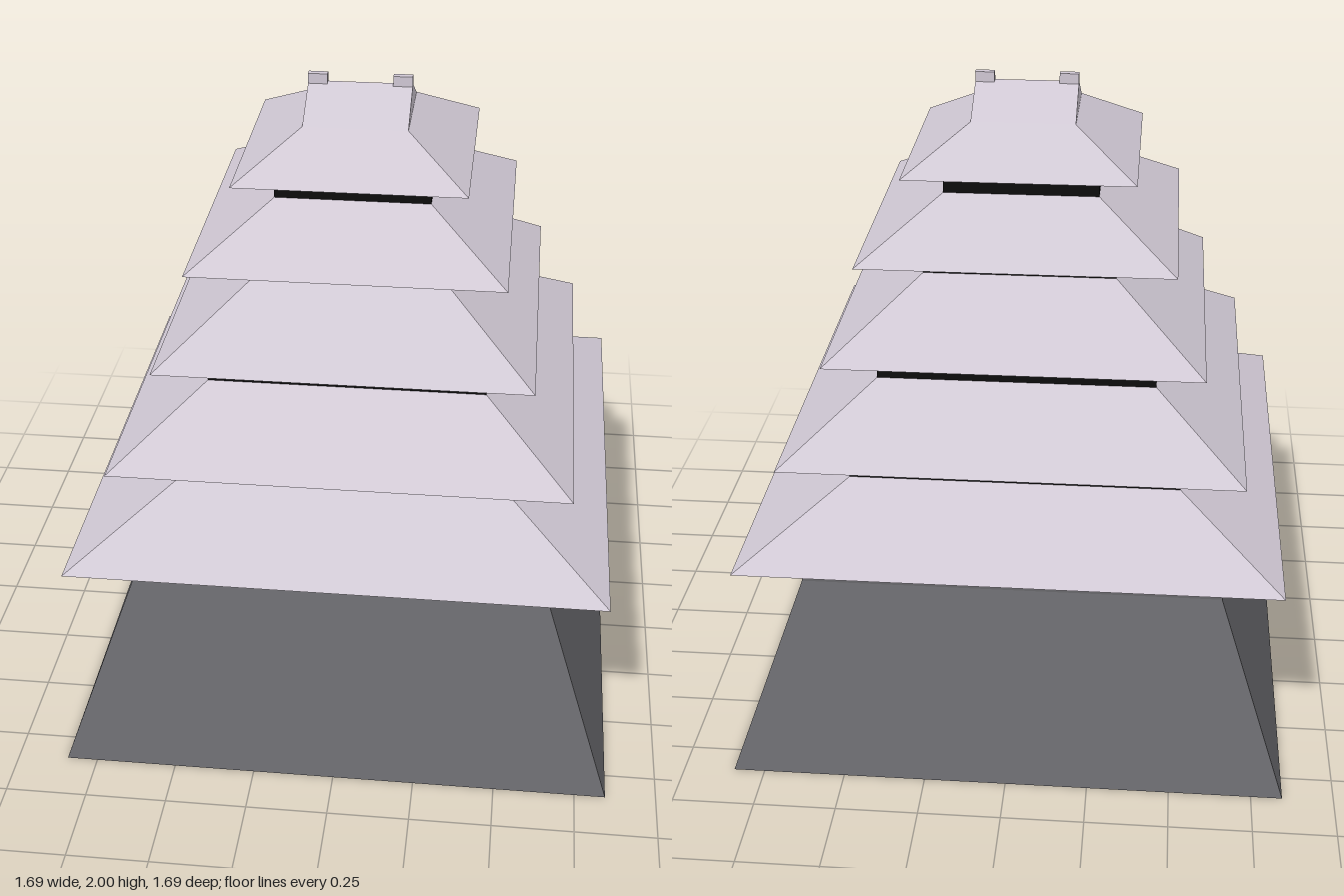
import * as THREE from 'three';

const material = (color) => new THREE.MeshStandardMaterial({ color, flatShading: true });

export function createModel() {
  const model = new THREE.Group();
  const stone = material(0x68686c);
  const tile = material(0xd0c8d4);
  const black = material(0x0d0d0d);

  const add = (name, geometry, mat, x = 0, y = 0, z = 0) => {
    const mesh = new THREE.Mesh(geometry, mat);
    mesh.name = name;
    mesh.position.set(x, y, z);
    model.add(mesh);
  };

  // Square frustum from half-widths and heights
  const frustum = (name, low, high, y0, y1, mat, open = false) => {
    const g = new THREE.CylinderGeometry(high * Math.SQRT2, low * Math.SQRT2, y1 - y0, 4, 1, open);
    g.rotateY(Math.PI / 4);
    add(name, g, mat, 0, (y0 + y1) / 2, 0);
  };

  const box = (name, w, y0, y1, d, mat, x = 0, z = 0) =>
    add(name, new THREE.BoxGeometry(w, y1 - y0, d), mat, x, (y0 + y1) / 2, z);

  // Sloping stone base
  frustum('stoneBase', 0.845, 0.64, 0, 0.573, stone);

  // Lowest wall: dark front half, stone back half
  box('groundWallFront', 1.28, 0.573, 0.695, 0.64, black, 0, 0.32);
  box('groundWallBack', 1.28, 0.573, 0.695, 0.64, stone, 0, -0.32);

  // Roof tiers: eave half-width, top half-width, eave height, top height
  const tiers = [
    [0.813, 0.503, 0.695, 0.868],
    [0.69, 0.42, 0.98, 1.168],
    [0.563, 0.29, 1.26, 1.46],
    [0.47, 0.232, 1.54, 1.695],
    [0.345, 0.156, 1.77, 1.89],
  ];
  tiers.forEach(([eave, top, y0, y1], i) => {
    frustum(`roof${i + 1}`, eave, top, y0, y1, tile, true);
    const soffit = new THREE.PlaneGeometry(eave * 2, eave * 2).rotateX(Math.PI / 2);
    add(`roofUnderside${i + 1}`, soffit, stone, 0, y0, 0);
    // Wall between this roof and the next
    if (i < tiers.length - 1) box(`wall${i + 2}`, top * 2, y1, tiers[i + 1][2], top * 2, black);
  });

  // Gabled crown with its ridge along x
  const gable = new THREE.Shape([
    new THREE.Vector2(-0.156, 0),
    new THREE.Vector2(0.156, 0),
    new THREE.Vector2(0, 0.085),
  ]);
  const crown = new THREE.ExtrudeGeometry(gable, { depth: 0.312, bevelEnabled: false });
  crown.translate(0, 0, -0.156).rotateY(Math.PI / 2);
  add('gableRoof', crown, tile, 0, 1.89, 0);

  // Ridge ornaments at both ends
  for (const s of [-1, 1]) box('ridgeOrnament', 0.058, 1.968, 2, 0.022, tile, s * 0.127, 0);

  return model;
}
